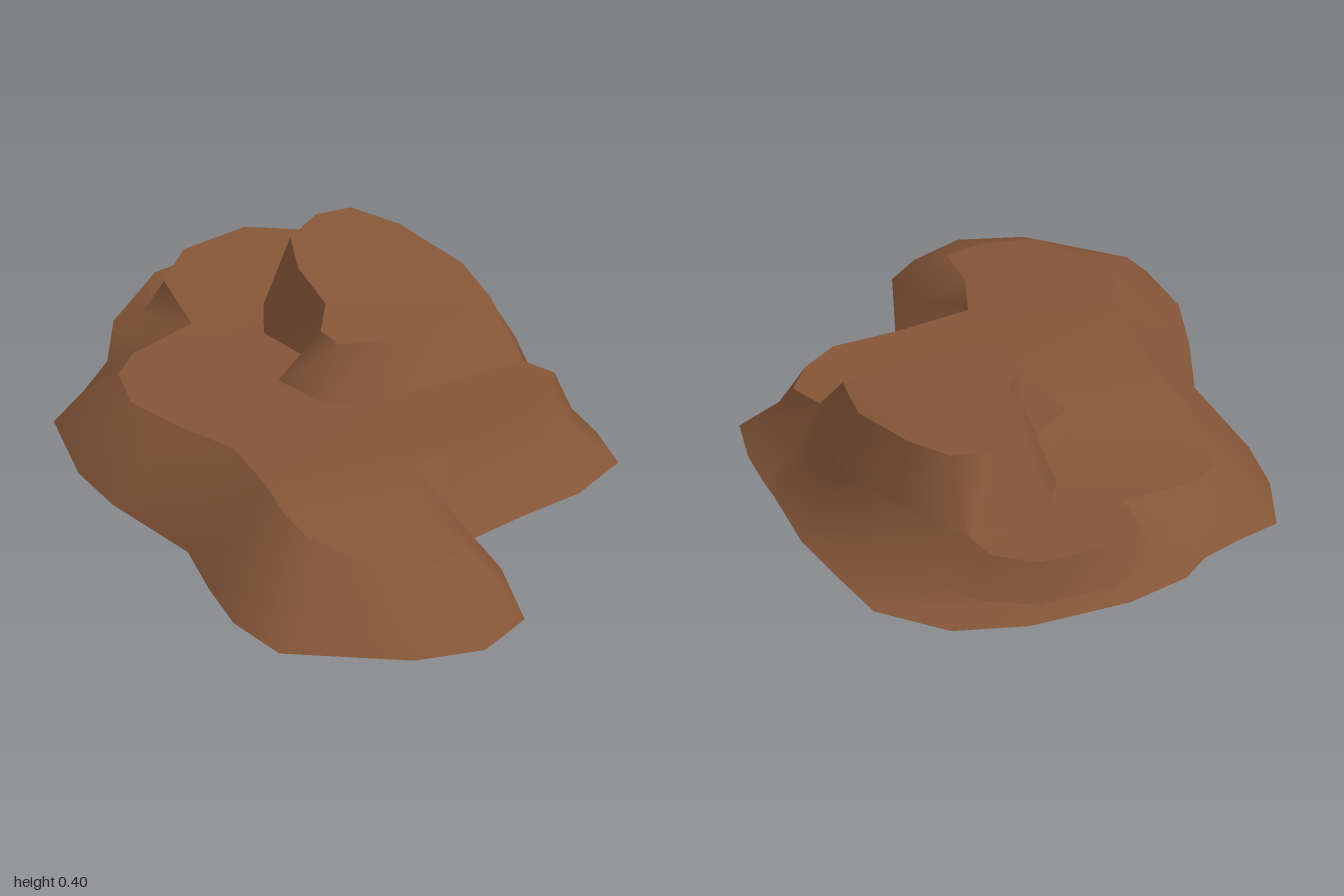
import * as THREE from 'three';
import { toCreasedNormals } from 'three/addons/utils/BufferGeometryUtils.js';

// foot outline [x, y, z], clockwise from the back
const foot = [
  [0.12, 0.11, -1], [0.41, 0.11, -1], [0.6, 0.1, -0.92], [0.72, 0.075, -0.7], [0.705, 0.045, -0.47],
  [0.705, 0.038, -0.23], [0.66, 0.027, 0.03], [0.65, 0.025, 0.12], [0.63, 0.025, 0.25], [0.58, 0.025, 0.41],
  [0.4, 0.025, 0.48], [0.2, 0.025, 0.49], [0.02, 0.025, 0.51], [0, 0.025, 0.68], [-0.11, 0.025, 0.93],
  [-0.29, 0.025, 1], [-0.47, 0.022, 0.93], [-0.73, 0.022, 0.69], [-0.73, 0.022, 0.49], [-0.67, 0.018, 0.3],
  [-0.59, 0.01, 0.1], [-0.59, 0.002, -0.23], [-0.56, 0, -0.42], [-0.47, 0.02, -0.65], [-0.33, 0.035, -0.71],
  [-0.2, 0.05, -0.78], [-0.09, 0.08, -0.9],
];
// edge of the lower plateau, matching the foot point by point; it dips at the back
const rim = [
  [0.13, 0.225, -0.89], [0.33, 0.225, -0.89], [0.43, 0.225, -0.8], [0.44, 0.225, -0.69], [0.54, 0.225, -0.45],
  [0.59, 0.225, -0.22], [0.55, 0.225, 0], [0.49, 0.225, 0.11], [0.52, 0.225, 0.21], [0.44, 0.225, 0.3],
  [0.33, 0.225, 0.365], [0.14, 0.225, 0.365], [-0.07, 0.225, 0.385], [-0.15, 0.2, 0.57], [-0.18, 0.175, 0.75],
  [-0.29, 0.17, 0.77], [-0.42, 0.178, 0.72], [-0.5, 0.21, 0.5], [-0.495, 0.225, 0.4], [-0.44, 0.225, 0.24],
  [-0.39, 0.222, 0.03], [-0.4, 0.188, -0.2], [-0.405, 0.17, -0.4], [-0.34, 0.168, -0.54], [-0.25, 0.172, -0.6],
  [-0.04, 0.18, -0.625], [0, 0.215, -0.8],
];
// inner base of the upper mound, continuing from rim point 7 round to rim point 3
const innerBase = [
  [0.14, 0.225, 0.07], [-0.06, 0.225, 0], [-0.08, 0.222, -0.19], [0.06, 0.212, -0.28],
  [0.08, 0.182, -0.47], [0.16, 0.19, -0.58], [0.33, 0.21, -0.66],
];
const crownBase = [...rim.slice(3, 8), ...innerBase];
const crownTop = [
  [0.43, 0.4, -0.56], [0.49, 0.39, -0.43], [0.525, 0.365, -0.2], [0.5, 0.357, -0.08], [0.485, 0.355, -0.02],
  [0.14, 0.355, 0.005], [0.02, 0.355, -0.06], [0.02, 0.358, -0.14], [0.11, 0.365, -0.24], [0.14, 0.388, -0.4],
  [0.21, 0.398, -0.53], [0.335, 0.4, -0.585],
];

// bend of the slope between foot and rim: [blend, rise above the straight line]
function bend(i) {
  if (i < 3) return [0.75, -0.08];
  if (i < 8) return [0.6, -0.042];
  if (i < 13) return [0.6, -0.035];
  if (i < 18) return [0.4, 0.028];
  if (i < 26) return [0.4, 0.014];
  return [0.6, -0.04];
}
const middle = foot.map((p, i) => {
  const [t, rise] = bend(i);
  const [x, y, z] = p.map((v, k) => v + (rim[i][k] - v) * t);
  return [x, y + rise, z];
});

function surface(triangles, crease) {
  const g = new THREE.BufferGeometry();
  g.setAttribute('position', new THREE.Float32BufferAttribute(triangles.flat(), 3));
  return toCreasedNormals(g, crease);
}

// closed wall between successive rings
function wall(rings, crease) {
  const tris = [];
  for (let r = 0; r < rings.length - 1; r++) {
    const a = rings[r], b = rings[r + 1];
    a.forEach((p, i) => {
      const j = (i + 1) % a.length;
      tris.push(a[j], p, b[i], a[j], b[i], b[j]);
    });
  }
  return surface(tris, crease);
}

// upward facing triangles over each outline, shaded as one surface
function cap(...outlines) {
  const tris = [];
  for (const outline of outlines) {
    const flat = outline.map((p) => new THREE.Vector2(p[0], -p[2]));
    for (const [a, b, c] of THREE.ShapeUtils.triangulateShape(flat, [])) {
      const up = THREE.ShapeUtils.area([flat[a], flat[b], flat[c]]) > 0;
      tris.push(outline[a], outline[up ? b : c], outline[up ? c : b]);
    }
  }
  return surface(tris, 0.9);
}

export function createModel() {
  const group = new THREE.Group();
  group.name = 'earthMound';
  const earth = new THREE.MeshStandardMaterial({ color: 0x855638, side: THREE.DoubleSide });
  earth.name = 'brown earth';

  const add = (name, geometry) => {
    const mesh = new THREE.Mesh(geometry, earth);
    mesh.name = name;
    group.add(mesh);
  };

  // plateau fields from the nose, past the mound, round to the back
  const b = innerBase;
  const fields = [
    rim.slice(13, 18),
    [rim[12], rim[13], rim[17], rim[18]],
    [...rim.slice(7, 13), ...rim.slice(18, 21), b[1], b[0]],
    [rim[20], rim[21], b[2], b[1]],
    [...rim.slice(21, 26), b[4], b[3], b[2]],
    [rim[25], rim[26], ...rim.slice(0, 4), b[6], b[5], b[4]],
  ];

  add('lowerSlope', wall([foot, middle, rim], 1.0));
  add('lowerPlateau', cap(...fields));
  add('upperSlope', wall([crownBase, crownTop], 1.0));
  add('upperPlateau', cap(crownTop));
  return group;
}
